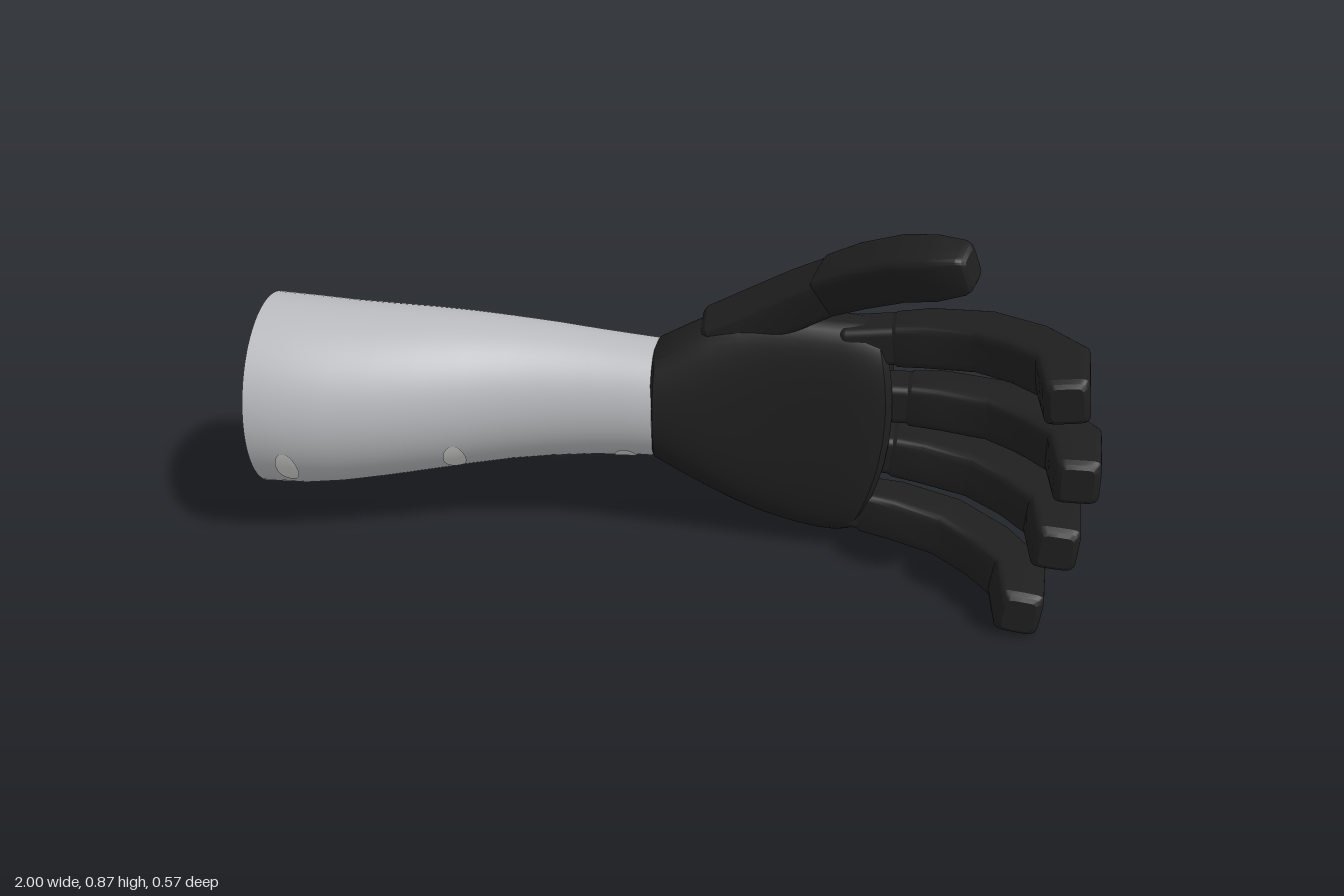
import * as THREE from 'three';
import { toCreasedNormals } from 'three/addons/utils/BufferGeometryUtils.js';
import { RoundedBoxGeometry } from 'three/addons/geometries/RoundedBoxGeometry.js';

const V = (x, y, z) => new THREE.Vector3(x, y, z);
const mat = (name, color, side = THREE.FrontSide) => {
  const m = new THREE.MeshStandardMaterial({ color, side });
  m.name = name;
  return m;
};

// Skin a list of closed rings and close both ends
function loft(rings, crease = 0.5) {
  const n = rings[0].length, pos = [], idx = [];
  rings.forEach(r => r.forEach(p => pos.push(p.x, p.y, p.z)));
  for (let i = 0; i < rings.length - 1; i++) {
    for (let j = 0; j < n; j++) {
      const a = i * n + j, b = i * n + (j + 1) % n;
      idx.push(a, b, b + n, a, b + n, a + n);
    }
  }
  [0, rings.length - 1].forEach(k => {
    const c = rings[k].reduce((s, p) => s.add(p), V(0, 0, 0)).divideScalar(n);
    const ci = pos.length / 3;
    pos.push(c.x, c.y, c.z);
    for (let j = 0; j < n; j++) {
      const a = k * n + j, b = k * n + (j + 1) % n;
      if (k === 0) idx.push(ci, b, a); else idx.push(ci, a, b);
    }
  });
  const g = new THREE.BufferGeometry();
  g.setAttribute('position', new THREE.Float32BufferAttribute(pos, 3));
  g.setIndex(idx);
  return toCreasedNormals(g, crease);
}

const pw = (v, n) => Math.sign(v) * Math.pow(Math.abs(v), 2 / n);

// Rounded-square digit swept along points; each station is [point, width, thickness]
function digit(stations, side) {
  const pts = stations.map(s => s[0]);
  const ring = (c, t, w, h) => {
    const u = side.clone().addScaledVector(t, -side.dot(t)).normalize();
    const v = t.clone().cross(u);
    return Array.from({ length: 32 }, (_, j) => {
      const a = j / 32 * Math.PI * 2;
      return c.clone().addScaledVector(u, pw(Math.cos(a), 6) * w / 2)
        .addScaledVector(v, pw(Math.sin(a), 6) * h / 2);
    });
  };
  const rings = [];
  stations.forEach(([p, w, h], i) => {
    const t = pts[Math.min(i + 1, pts.length - 1)].clone().sub(pts[Math.max(i - 1, 0)]).normalize();
    const bevel = [[0, 0.03], [0.006, 0.012], [0.018, 0]];
    if (i === 0) bevel.forEach(([d, s]) => rings.push(ring(p.clone().addScaledVector(t, d), t, w - s, h - s)));
    else if (i === pts.length - 1) bevel.reverse().forEach(([d, s]) => rings.push(ring(p.clone().addScaledVector(t, -d), t, w - s, h - s)));
    else rings.push(ring(p, t, w, h));
  });
  return loft(rings, 0.42);
}

// Forearm stations: x, bottom, top, back, front
const ARM = [
  [-0.97, 0.11, 0.575, -0.285, 0.18], [-0.87, 0.112, 0.57, -0.284, 0.177],
  [-0.78, 0.12, 0.563, -0.281, 0.163], [-0.68, 0.134, 0.557, -0.278, 0.141],
  [-0.58, 0.149, 0.551, -0.274, 0.114], [-0.48, 0.164, 0.543, -0.268, 0.084],
  [-0.38, 0.178, 0.533, -0.26, 0.056], [-0.28, 0.189, 0.523, -0.252, 0.036],
  [-0.18, 0.198, 0.512, -0.243, 0.023], [-0.1, 0.203, 0.505, -0.237, 0.018],
  [-0.03, 0.206, 0.5, -0.23, 0.015],
];
function armPoint(x, a, lift = 0) {
  let i = 0;
  while (i < ARM.length - 2 && x > ARM[i + 1][0]) i++;
  const f = (x - ARM[i][0]) / (ARM[i + 1][0] - ARM[i][0]);
  const [, b, t, k, z] = ARM[i].map((v, j) => v + (ARM[i + 1][j] - v) * f);
  return V(x, (b + t) / 2 + ((t - b) / 2 + lift) * Math.cos(a), (k + z) / 2 + ((z - k) / 2 + lift) * Math.sin(a));
}

// Oval patch that follows the forearm surface
function oval(x, angle, half) {
  const pos = [], idx = [], n = 24;
  for (let r = 0; r <= 4; r++) for (let j = 0; j < n; j++) {
    const a = j / n * Math.PI * 2, s = r / 4;
    const p = armPoint(x + 0.026 * s * Math.cos(a), angle + half * s * Math.sin(a), 0.003);
    pos.push(p.x, p.y, p.z);
    if (r < 4) {
      const k = r * n + j, l = r * n + (j + 1) % n;
      idx.push(k, k + n, l + n, k, l + n, l);
    }
  }
  const g = new THREE.BufferGeometry();
  g.setAttribute('position', new THREE.Float32BufferAttribute(pos, 3));
  g.setIndex(idx);
  g.computeVertexNormals();
  return g;
}

// Palm stations: x, bottom, top, back, front, corner exponent
const PALM = [
  [-0.035, 0.222, 0.496, -0.222, 0.008, 2], [-0.028, 0.212, 0.506, -0.232, 0.016, 2],
  [0.03, 0.176, 0.54, -0.238, 0.012, 2.1], [0.1, 0.136, 0.578, -0.241, 0.002, 2.3],
  [0.17, 0.103, 0.598, -0.241, -0.008, 2.5], [0.25, 0.075, 0.603, -0.24, -0.013, 2.7],
  [0.34, 0.055, 0.602, -0.237, -0.012, 2.8], [0.42, 0.045, 0.6, -0.23, -0.008, 2.8],
  [0.48, 0.043, 0.598, -0.215, -0.006, 2.8], [0.515, 0.047, 0.593, -0.197, -0.012, 2.8],
  [0.53, 0.06, 0.58, -0.175, -0.028, 2.8],
];
function palmRing([x, b, t, k, f, n]) {
  const mid = -0.1, bend = Math.max(0, x) / 0.53;
  return Array.from({ length: 48 }, (_, j) => {
    const a = j / 48 * Math.PI * 2, s = Math.sin(a);
    const y = (b + t) / 2 + (t - b) / 2 * pw(Math.cos(a), n);
    const z = mid + (s > 0 ? (f - mid) * pw(s, n + 0.8) : (mid - k) * pw(s, 2));
    return V(x - 0.75 * bend * bend * (y - 0.38) ** 2, y, z);
  });
}

export function createModel() {
  const model = new THREE.Group();
  const shell = mat('light grey shell', 0xb9babd);
  const recess = mat('pale recess', 0xd2d2d0, THREE.DoubleSide);
  const black = mat('black glove', 0x1f1f1f);
  const plate = mat('dark connector', 0x171717);
  const add = (name, geo, m, parent = model) => {
    const o = new THREE.Mesh(geo, m);
    o.name = name;
    parent.add(o);
    return o;
  };

  // Forearm shell with oval screw recesses on front and back
  add('forearm', loft(ARM.map(s => Array.from({ length: 64 }, (_, j) => armPoint(s[0], j / 64 * Math.PI * 2)))), shell);
  [[-0.885, 119, 14], [-0.5, 128, 16], [-0.1, 146, 15]].forEach(([x, a, h]) => [1, -1].forEach(s =>
    add('screwRecess', oval(x, s * THREE.MathUtils.degToRad(a), THREE.MathUtils.degToRad(h)), recess)));

  // Round connector on the open end
  const disc = (name, r, x0, x1, m, y = 0.345, z = -0.055) => {
    const d = add(name, new THREE.CylinderGeometry(r, r, x1 - x0, 40), m);
    d.rotation.z = Math.PI / 2;
    d.position.set((x0 + x1) / 2, y, z);
  };
  disc('connectorSeat', 0.158, -0.976, -0.965, shell);
  disc('connectorFlange', 0.144, -0.985, -0.97, plate);
  disc('connectorDisc', 0.125, -0.998, -0.98, plate);
  for (let i = 0; i < 4; i++) {
    const a = i * Math.PI / 2;
    disc('connectorPin', 0.008, -1, -0.996, shell, 0.345 + 0.07 * Math.cos(a), -0.055 + 0.07 * Math.sin(a));
  }

  // Palm
  add('palm', loft(PALM.map(palmRing), 0.6), black);

  // Four fingers: x shift, base height, tip height
  const PATH = [[0.55, -0.085], [0.64, -0.082], [0.765, -0.05], [0.86, 0.025], [0.93, 0.12], [0.931, 0.28]];
  const SIZE = [[0.106, 0.112], [0.112, 0.125], [0.112, 0.13], [0.11, 0.13], [0.11, 0.125], [0.106, 0.1]];
  [['index', -0.035, 0.548, 0.597], ['middle', 0.005, 0.405, 0.406],
    ['ring', -0.025, 0.272, 0.235], ['little', -0.09, 0.118, 0.061]].forEach(([name, dx, y0, y1]) => {
    const finger = new THREE.Group();
    finger.name = name + 'Finger';
    model.add(finger);
    const slope = (y1 - y0) / 0.43;
    const side = V(-slope, 1, 0).normalize();
    add('fingerBody', digit(PATH.map(([x, z], i) =>
      [V(x + dx, y0 + slope * (x - 0.5), z), ...SIZE[i]]), side), black, finger);
    const k = add('knuckle', new RoundedBoxGeometry(0.16, 0.096, 0.11, 3, 0.018), black, finger);
    k.position.set(0.515 + dx, y0 + slope * 0.015, -0.088);
    k.rotation.z = Math.atan(slope);
  });

  // Thumb: root blended into the palm, then the bent outer part
  const across = V(-0.5, 0.8, 0.1).normalize();
  add('thumbRoot', digit([
    [V(0.09, 0.525, -0.105), 0.1, 0.13], [V(0.2, 0.583, -0.105), 0.1, 0.135],
    [V(0.3, 0.64, -0.092), 0.105, 0.13], [V(0.41, 0.71, -0.055), 0.1, 0.12],
  ], across), black);
  add('thumb', digit([
    [V(0.36, 0.682, -0.072), 0.108, 0.125], [V(0.45, 0.735, -0.028), 0.115, 0.13],
    [V(0.54, 0.782, 0.028), 0.118, 0.125], [V(0.61, 0.803, 0.067), 0.118, 0.115],
    [V(0.685, 0.822, 0.098), 0.1, 0.09],
  ], across), black);

  return model;
}
